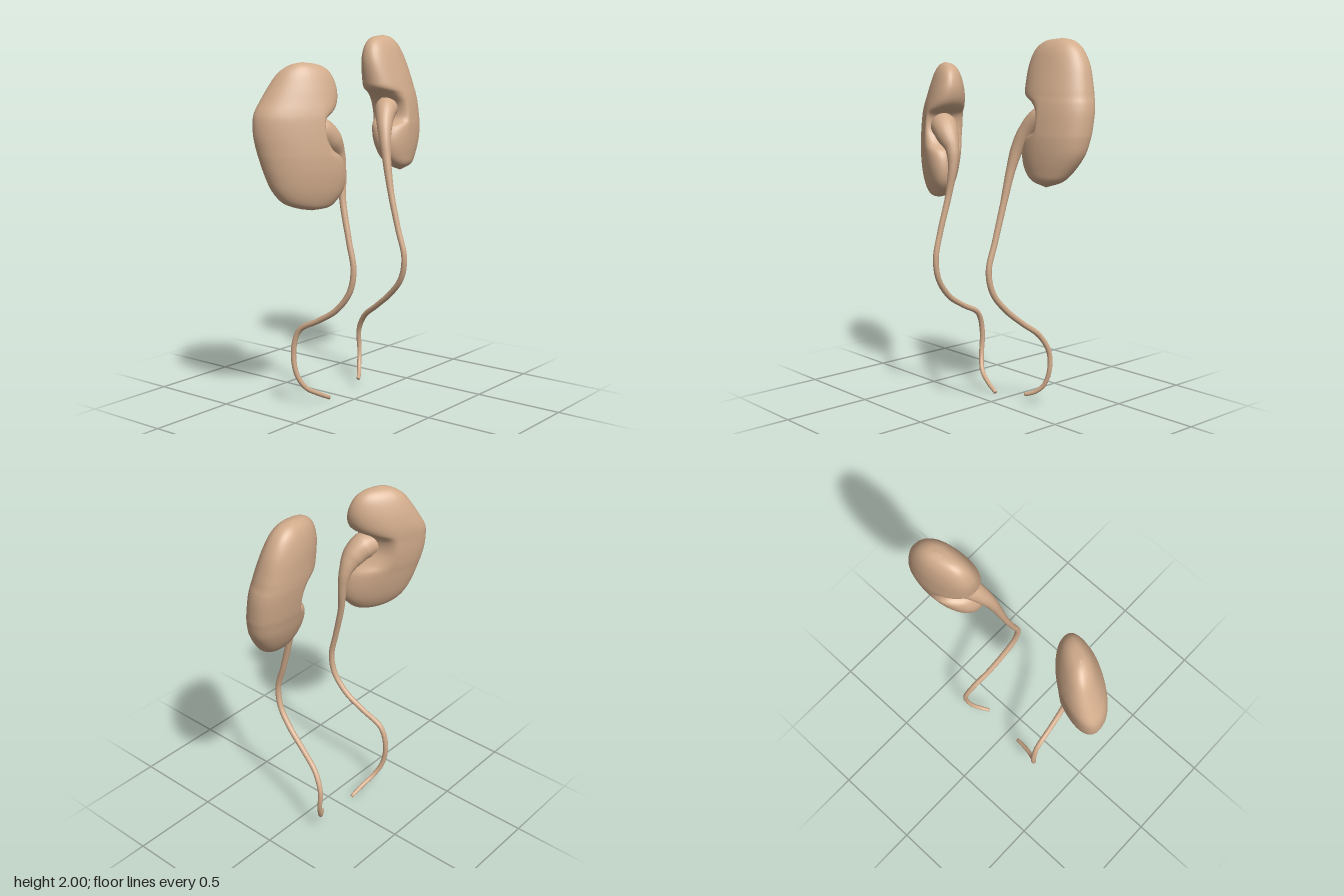
import * as THREE from 'three';
import { mergeVertices } from 'three/addons/utils/BufferGeometryUtils.js';

// Closed smooth skin over a list of rings (arrays of Vector3)
function skin(rings) {
  const n = rings[0].length, index = [];
  for (let i = 0; i < rings.length - 1; i++) {
    for (let j = 0; j < n; j++) {
      const a = i * n + j, b = i * n + (j + 1) % n;
      index.push(a, b, a + n, b, b + n, a + n);
    }
  }
  let geo = new THREE.BufferGeometry().setFromPoints(rings.flat());
  geo.setIndex(index);
  geo = mergeVertices(geo, 1e-5);
  geo.computeVertexNormals();
  return geo;
}

// Bean-shaped body: rows of [y, low x, high x, half thickness, centre z], top to bottom.
// Each section is two blunt half ellipses that meet at the thick ridge.
function kidneyGeometry(rows, slope, ridge) {
  const spline = (f) => new THREE.CatmullRomCurve3(rows.map(f), false, 'catmullrom', 0.5);
  const outline = spline((r) => new THREE.Vector3(r[1], r[0], r[2]));
  const depth = spline((r) => new THREE.Vector3(r[3], r[4], 0));
  const rings = [], steps = (rows.length - 1) * 5, sides = 48;
  for (let i = 0; i <= steps; i++) {
    const o = outline.getPoint(i / steps), d = depth.getPoint(i / steps);
    rings.push(Array.from({ length: sides }, (_, j) => {
      const t = j / sides * Math.PI * 2, c = Math.cos(t), s = Math.sin(t);
      const dx = c * (c > 0 ? o.z - ridge : ridge - o.x);
      const dz = d.x * Math.sign(s) * Math.abs(s) ** 0.88;
      return new THREE.Vector3(ridge + dx, o.y, d.y + slope * dx + dz);
    }));
  }
  return skin(rings);
}

// Tapering tube: rows of [x, y, z, radius]
function ureterGeometry(rows) {
  const curve = new THREE.CatmullRomCurve3(rows.map((r) => new THREE.Vector3(r[0], r[1], r[2])));
  const steps = (rows.length - 1) * 6, sides = 16, rings = [];
  const normal = new THREE.Vector3(0, 0, 1);
  const ring = (c, N, B, r) => Array.from({ length: sides }, (_, j) => {
    const t = j / sides * Math.PI * 2;
    return c.clone().addScaledVector(N, r * Math.cos(t)).addScaledVector(B, r * Math.sin(t));
  });
  for (let i = 0; i <= steps; i++) {
    const c = curve.getPoint(i / steps), T = curve.getTangent(i / steps);
    normal.addScaledVector(T, -normal.dot(T)).normalize();
    const B = T.clone().cross(normal);
    const k = Math.min(Math.floor(i / 6), rows.length - 2);
    const r = THREE.MathUtils.lerp(rows[k][3], rows[k + 1][3], i / 6 - k);
    if (i === 0) rings.push(ring(c, normal, B, 0));
    rings.push(ring(c, normal, B, r));
    if (i === steps) rings.push(ring(c, normal, B, 0));
  }
  return skin(rings);
}

const leftKidney = [
  [2.0, 0.41, 0.41, 0, -0.125],
  [1.985, 0.31, 0.475, 0.043, -0.122],
  [1.94, 0.252, 0.53, 0.076, -0.117],
  [1.86, 0.225, 0.575, 0.1, -0.108],
  [1.76, 0.227, 0.605, 0.118, -0.092],
  [1.71, 0.24, 0.617, 0.124, -0.084],
  [1.675, 0.305, 0.627, 0.127, -0.077],
  [1.62, 0.365, 0.634, 0.128, -0.067],
  [1.54, 0.365, 0.634, 0.126, -0.054],
  [1.495, 0.29, 0.63, 0.122, -0.046],
  [1.42, 0.262, 0.612, 0.111, -0.035],
  [1.34, 0.28, 0.565, 0.09, -0.021],
  [1.28, 0.335, 0.51, 0.06, -0.006],
  [1.247, 0.42, 0.42, 0, 0],
];

const rightKidney = [
  [1.865, -0.4, -0.4, 0, -0.02],
  [1.85, -0.45, -0.315, 0.042, -0.025],
  [1.81, -0.5, -0.265, 0.076, -0.028],
  [1.74, -0.545, -0.242, 0.104, -0.028],
  [1.67, -0.587, -0.25, 0.122, -0.024],
  [1.62, -0.617, -0.285, 0.13, -0.018],
  [1.575, -0.631, -0.355, 0.133, -0.012],
  [1.5, -0.634, -0.36, 0.135, -0.005],
  [1.43, -0.626, -0.315, 0.133, 0.003],
  [1.38, -0.618, -0.255, 0.128, 0.01],
  [1.3, -0.6, -0.235, 0.117, 0.018],
  [1.22, -0.573, -0.245, 0.098, 0.025],
  [1.16, -0.53, -0.285, 0.072, 0.032],
  [1.13, -0.465, -0.325, 0.045, 0.038],
  [1.117, -0.4, -0.4, 0, 0.04],
];

const leftUreter = [
  [0.42, 1.605, -0.075, 0.06], [0.34, 1.592, -0.04, 0.064], [0.278, 1.53, -0.005, 0.047],
  [0.237, 1.44, 0.028, 0.034], [0.217, 1.33, 0.055, 0.025], [0.203, 1.15, 0.095, 0.018],
  [0.197, 0.95, 0.15, 0.016], [0.196, 0.8, 0.193, 0.016], [0.203, 0.68, 0.17, 0.016],
  [0.215, 0.58, 0.09, 0.016], [0.23, 0.49, -0.02, 0.015], [0.252, 0.41, -0.125, 0.015],
  [0.272, 0.31, -0.18, 0.014], [0.276, 0.2, -0.178, 0.013], [0.25, 0.12, -0.16, 0.012],
  [0.21, 0.08, -0.13, 0.012], [0.165, 0.062, -0.1, 0.01],
];

const rightUreter = [
  [-0.41, 1.525, 0.01, 0.06], [-0.34, 1.515, 0.045, 0.074], [-0.28, 1.465, 0.067, 0.062],
  [-0.233, 1.4, 0.075, 0.038], [-0.217, 1.31, 0.085, 0.026], [-0.23, 1.15, 0.105, 0.018],
  [-0.243, 0.95, 0.155, 0.016], [-0.245, 0.8, 0.187, 0.016], [-0.248, 0.68, 0.165, 0.016],
  [-0.258, 0.57, 0.08, 0.016], [-0.27, 0.5, -0.03, 0.015], [-0.282, 0.43, -0.155, 0.015],
  [-0.288, 0.31, -0.192, 0.015], [-0.28, 0.18, -0.178, 0.014], [-0.24, 0.1, -0.148, 0.013],
  [-0.17, 0.055, -0.125, 0.013], [-0.085, 0.012, -0.11, 0.011],
];

export function createModel() {
  const group = new THREE.Group();
  group.name = 'kidneysAndUreters';
  const tissue = new THREE.MeshStandardMaterial({ color: 0xd2ac8c });
  tissue.name = 'tissue';
  const add = (name, geometry) => {
    const mesh = new THREE.Mesh(geometry, tissue);
    mesh.name = name;
    group.add(mesh);
  };
  add('leftKidney', kidneyGeometry(leftKidney, -0.1, 0.415));
  add('rightKidney', kidneyGeometry(rightKidney, 0.45, -0.4));
  add('leftUreter', ureterGeometry(leftUreter));
  add('rightUreter', ureterGeometry(rightUreter));
  return group;
}
